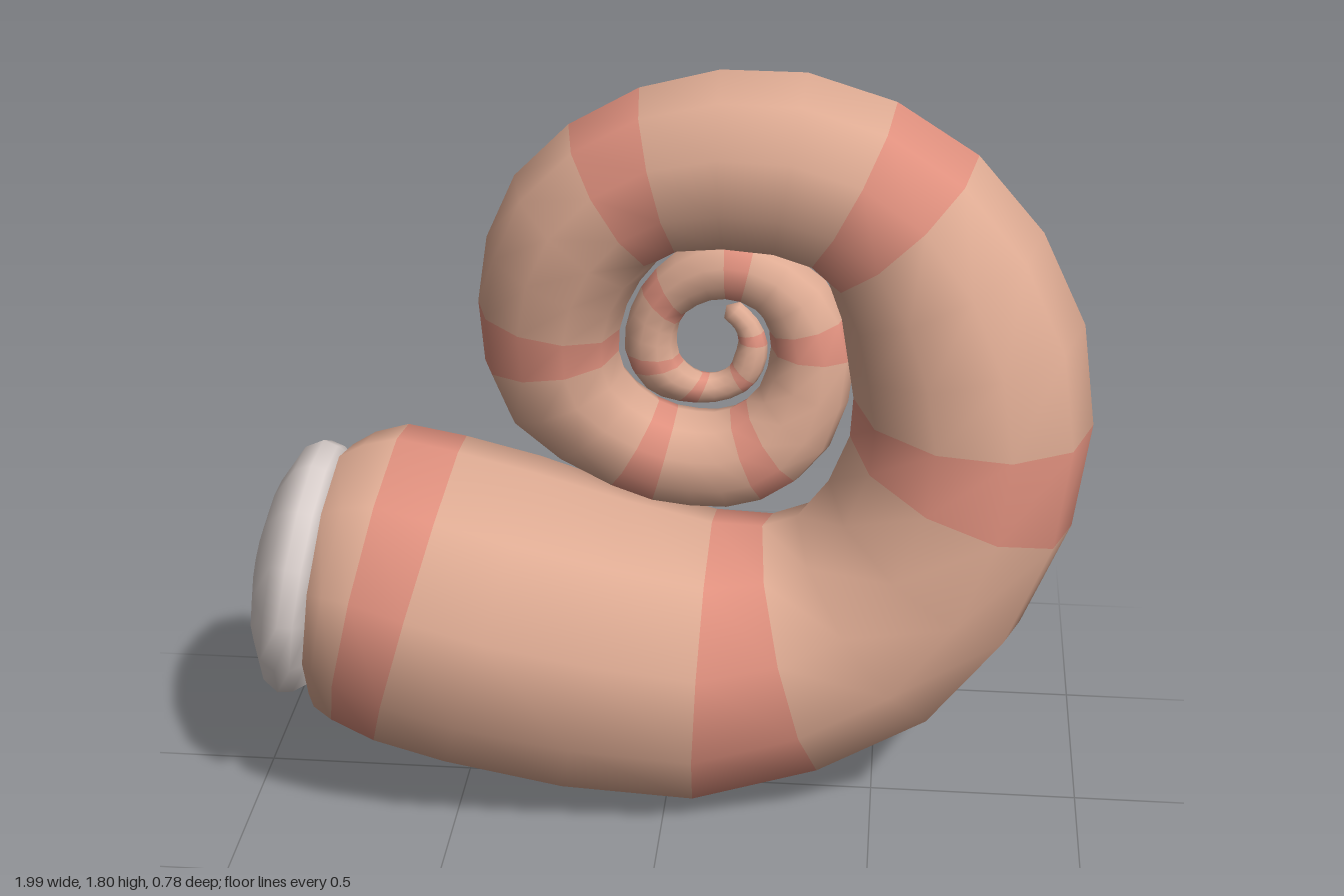
import * as THREE from 'three';

const SIDES = 10;

// Spiral outline: outer x, outer y, inner x, inner y at every second ring, mouth to tip
const OUTLINE = [
  [-0.86, 0.25, -0.79, 0.85], [-0.81, 0.19, -0.65, 0.90], [-0.54, 0.10, -0.32, 0.83],
  [0.07, 0, 0.10, 0.71], [0.66, 0.23, 0.30, 0.72], [0.95, 0.72, 0.42, 0.93],
  [0.95, 1.23, 0.41, 1.12], [0.69, 1.62, 0.36, 1.30], [0.30, 1.80, 0.23, 1.37],
  [-0.08, 1.75, 0.02, 1.365], [-0.37, 1.53, -0.08, 1.28], [-0.465, 1.21, -0.13, 1.15],
  [-0.40, 0.92, -0.12, 1.04], [-0.16, 0.74, -0.04, 0.955], [0.04, 0.69, 0.05, 0.93],
  [0.22, 0.715, 0.13, 0.94], [0.37, 0.85, 0.20, 1.0], [0.425, 1.09, 0.225, 1.10],
  [0.35, 1.27, 0.205, 1.17], [0.185, 1.365, 0.15, 1.21], [0.05, 1.355, 0.085, 1.21],
  [-0.05, 1.28, 0.02, 1.17], [-0.11, 1.18, 0, 1.12], [-0.125, 1.07, 0.005, 1.065],
  [-0.08, 0.98, 0.03, 1.03], [0, 0.94, 0.06, 1.01], [0.09, 0.935, 0.095, 1.01],
  [0.165, 0.965, 0.125, 1.03], [0.205, 1.02, 0.135, 1.055], [0.215, 1.09, 0.145, 1.095],
  [0.19, 1.15, 0.135, 1.125], [0.15, 1.19, 0.11, 1.15],
];

function spline(k) {
  const pts = OUTLINE.map((r) => new THREE.Vector3(r[k], r[k + 1], 0));
  return new THREE.CatmullRomCurve3(pts, false, 'catmullrom', 0.5);
}

// Tapering coiled tube; one segment in four belongs to a band
function coilGeometry() {
  const outer = spline(0), inner = spline(2);
  const segments = (OUTLINE.length - 1) * 2;
  const positions = [], skin = [], bands = [];

  for (let s = 0; s <= segments; s++) {
    const o = outer.getPoint(s / segments), i = inner.getPoint(s / segments);
    const mid = o.clone().add(i).multiplyScalar(0.5);
    const half = o.clone().sub(mid), r = half.length();
    const z = s < 2 ? 0 : 0.64 * (r - 0.375); // the coil drifts backwards as it narrows
    const depth = r * (s < 5 ? 1.08 : 1);
    for (let k = 0; k < SIDES; k++) {
      const a = (k / SIDES) * Math.PI * 2;
      positions.push(mid.x + half.x * Math.cos(a), mid.y + half.y * Math.cos(a), z + depth * Math.sin(a));
    }
  }
  for (let s = 0; s < segments; s++) {
    const list = s % 4 === 2 ? bands : skin;
    for (let k = 0; k < SIDES; k++) {
      const a = s * SIDES + k, b = s * SIDES + (k + 1) % SIDES;
      const d = a + SIDES, c = b + SIDES;
      list.push(a, d, b, b, d, c);
    }
  }
  // Rounded tip
  const last = segments * SIDES, tip = last + SIDES;
  positions.push(0.115, 1.182, -0.224);
  for (let k = 0; k < SIDES; k++) skin.push(last + k, tip, last + (k + 1) % SIDES);

  const g = new THREE.BufferGeometry();
  g.setAttribute('position', new THREE.Float32BufferAttribute(positions, 3));
  g.setIndex([...skin, ...bands]);
  g.addGroup(0, skin.length, 0);
  g.addGroup(skin.length, bands.length, 1);
  g.computeVertexNormals();
  return g;
}

export function createModel() {
  const material = (name, color) => {
    const m = new THREE.MeshStandardMaterial({ color });
    m.name = name;
    return m;
  };
  const skin = material('tan skin', 0xdeab93);
  const band = material('salmon band', 0xdf907e);
  const pale = material('pale grey', 0xd9cfcc);

  const group = new THREE.Group();
  group.name = 'coiledShell';

  const coil = new THREE.Mesh(coilGeometry(), [skin, band]);
  coil.name = 'bandedCoil';
  group.add(coil);

  // Domed lid closing the wide end
  const profile = [[0, -0.02], [0.28, -0.01], [0.308, 0.025], [0.316, 0.06], [0.292, 0.1], [0.2, 0.145], [0.1, 0.165], [0, 0.17]];
  const lid = new THREE.Mesh(
    new THREE.LatheGeometry(profile.map(([x, y]) => new THREE.Vector2(x, y)), 14), pale);
  lid.name = 'lid';
  lid.position.set(-0.83, 0.545, 0);
  lid.rotation.z = 1.415;
  group.add(lid);

  return group;
}
